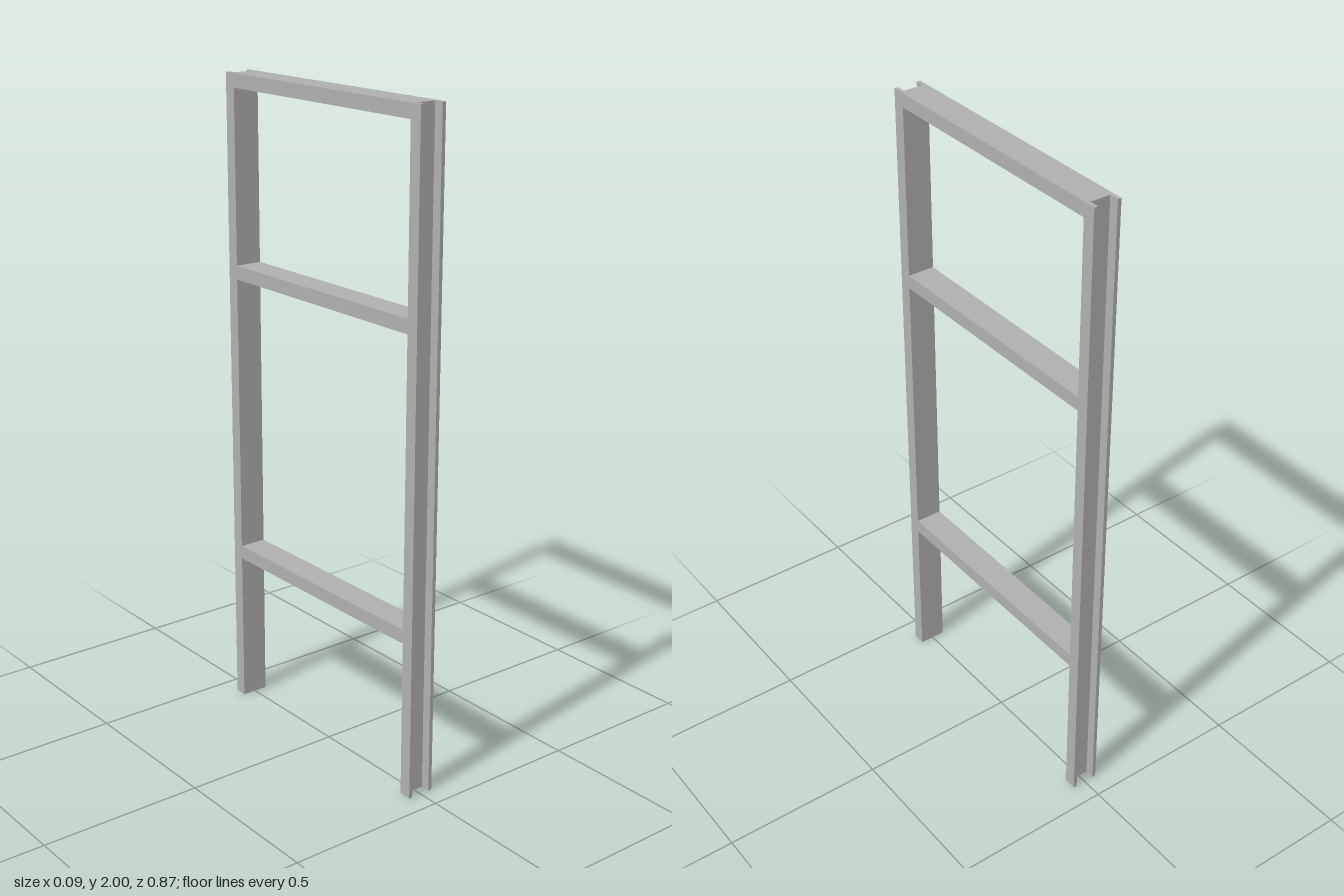
import * as THREE from 'three';

const HALF_W = 0.0425, FLANGE = 0.0115, WEB = 0.01;
const POST_DEPTH = 0.039, RUNG_DEPTH = 0.0425, INNER_Z = 0.394;

// U-shaped channel along +z: web on top at y = 0, flanges hanging down
function channel(depth, length) {
  const i = HALF_W - FLANGE;
  const shape = new THREE.Shape([
    [-HALF_W, 0], [-HALF_W, -depth], [-i, -depth], [-i, -WEB],
    [i, -WEB], [i, -depth], [HALF_W, -depth], [HALF_W, 0],
  ].map(([x, y]) => new THREE.Vector2(x, y)));
  return new THREE.ExtrudeGeometry(shape, { depth: length, bevelEnabled: false });
}

export function createModel() {
  const frame = new THREE.Group();
  frame.name = 'channelFrame';
  const steel = new THREE.MeshStandardMaterial({ color: 0xb0b0b0 });
  steel.name = 'grey steel';

  // Upright posts, open side facing outward
  const postGeo = channel(POST_DEPTH, 2);
  postGeo.rotateX(-Math.PI / 2).translate(0, 0, INNER_Z);
  ['frontPost', 'backPost'].forEach((name, k) => {
    const post = new THREE.Mesh(postGeo, steel);
    post.name = name;
    post.rotation.y = k * Math.PI;
    frame.add(post);
  });

  // Crossbars between the posts, open side facing down
  const barGeo = channel(RUNG_DEPTH, INNER_Z * 2).translate(0, 0, -INNER_Z);
  const bars = { lowerCrossbar: 0.523, middleCrossbar: 1.43, topCrossbar: 2 };
  for (const [name, y] of Object.entries(bars)) {
    const bar = new THREE.Mesh(barGeo, steel);
    bar.name = name;
    bar.position.y = y;
    frame.add(bar);
  }
  return frame;
}
